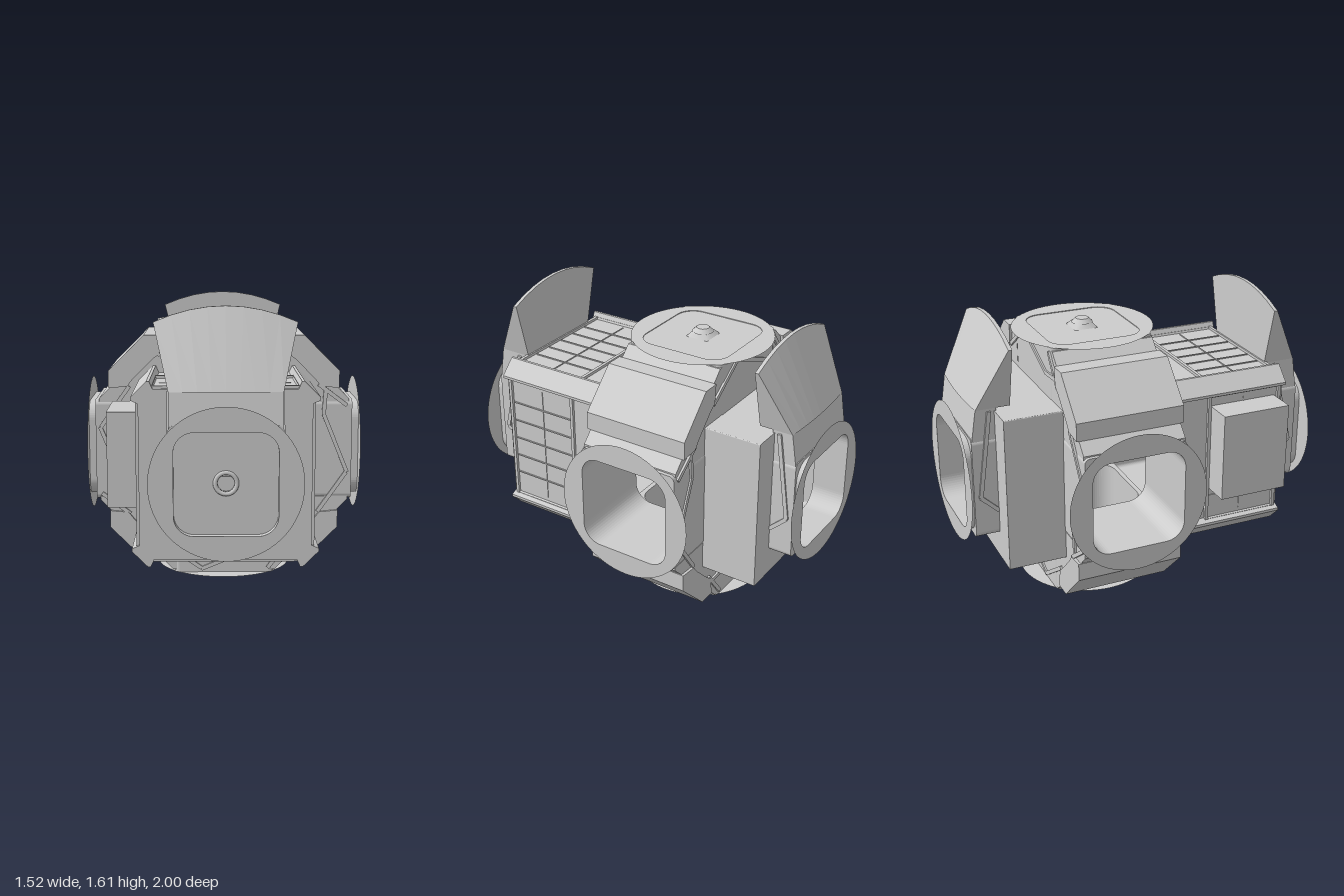
import * as THREE from 'three';

const metal = new THREE.MeshStandardMaterial({ color: 0xcccccc, side: THREE.DoubleSide });
metal.name = 'light grey metal';

const CY = 0.757;   // height of the module axis
const ZC = -0.232;  // centre of the crossing section
const HOLE = 0.256; // half width of a hatch opening

function add(parent, name, geometry, x = 0, y = 0, z = 0) {
  const mesh = new THREE.Mesh(geometry, metal);
  mesh.name = name;
  mesh.position.set(x, y, z);
  parent.add(mesh);
  return mesh;
}

const box = (w, h, d) => new THREE.BoxGeometry(w, h, d);

function group(parent, name) {
  const g = new THREE.Group();
  g.name = name;
  parent.add(g);
  return g;
}

// Square outline with rounded corners
function roundedSquare(h, r, Type = THREE.Shape) {
  const s = new Type();
  const c = h - r;
  s.moveTo(h, -c);
  s.absarc(c, c, r, 0, Math.PI / 2);
  s.absarc(-c, c, r, Math.PI / 2, Math.PI);
  s.absarc(-c, -c, r, Math.PI, Math.PI * 1.5);
  s.absarc(c, -c, r, Math.PI * 1.5, Math.PI * 2);
  return s;
}

const polygon = (pts) => new THREE.Shape(pts.map(([x, y]) => new THREE.Vector2(x, y)));
const extrude = (shape, depth) =>
  new THREE.ExtrudeGeometry(shape, { depth, bevelEnabled: false, curveSegments: 6 });

function frame(outer, outerR, inner, innerR, depth) {
  const s = roundedSquare(outer, outerR);
  s.holes.push(roundedSquare(inner, innerR, THREE.Path));
  return extrude(s, depth);
}

// Thin bar between two points of an xy plane
function bar(parent, name, [x1, y1], [x2, y2], z, width = 0.022, thick = 0.014) {
  const m = add(parent, name, box(Math.hypot(x2 - x1, y2 - y1), width, thick),
    (x1 + x2) / 2, (y1 + y2) / 2, z);
  m.rotation.z = Math.atan2(y2 - y1, x2 - x1);
}

// Docking port along local +z: square neck, thin lip and flat round flange
function makePort(parent, name, { start, neckEnd, tip, hatch }) {
  const g = group(parent, name);
  add(g, 'neck', frame(0.283, 0.03, HOLE, 0.1, neckEnd - start), 0, 0, start);
  if (tip > neckEnd)
    add(g, 'lip', frame(0.268, 0.1, HOLE, 0.1, tip - neckEnd), 0, 0, neckEnd);
  const flange = new THREE.Shape();
  flange.absarc(0, 0, 0.382, 0, Math.PI * 2);
  flange.holes.push(roundedSquare(HOLE, 0.1, THREE.Path));
  add(g, 'flange', new THREE.ShapeGeometry(flange, 32), 0, 0, tip);
  if (hatch === 'window') {
    // Recessed hatch with a small round porthole
    const door = roundedSquare(HOLE, 0.1);
    const eye = new THREE.Path();
    eye.absarc(0, 0, 0.042, 0, Math.PI * 2);
    door.holes.push(eye);
    add(g, 'hatch', extrude(door, 0.02), 0, 0, tip - 0.06);
    add(g, 'portholeRim', new THREE.TorusGeometry(0.053, 0.011, 8, 28), 0, 0, tip - 0.038);
  } else if (hatch === 'knob') {
    // Closed hatch with a central grapple knob
    add(g, 'hatch', extrude(roundedSquare(HOLE, 0.1), 0.02), 0, 0, tip - 0.024);
    const base = add(g, 'knobBase', new THREE.CylinderGeometry(0.062, 0.092, 0.024, 4), 0, 0, tip + 0.008);
    base.rotation.set(Math.PI / 2, Math.PI / 4, 0);
    const knob = add(g, 'knob', new THREE.CylinderGeometry(0.035, 0.058, 0.022, 16), 0, 0, tip + 0.031);
    knob.rotation.x = Math.PI / 2;
  }
  return g;
}

// Curved wedge shield: sloped outer face, upright inner face
function shieldGeometry(n = 8) {
  const pos = [], idx = [];
  const ring = (t) => [
    [0.28 * t, 0.443, 0.945 - 0.015 * t * t],
    [0.357 * t, 0.848 - 0.08 * t * t, 0.765],
    [0.357 * t, 0.848 - 0.08 * t * t, 0.745],
    [0.28 * t, 0.443, 0.745],
  ];
  for (let i = 0; i <= n; i++) ring(-1 + 2 * i / n).forEach((p) => pos.push(...p));
  for (let i = 0; i < n; i++)
    for (let j = 0; j < 4; j++) {
      const a = i * 4 + j, b = i * 4 + (j + 1) % 4;
      idx.push(a, a + 4, b, b, a + 4, b + 4);
    }
  const e = n * 4;
  idx.push(0, 1, 2, 0, 2, 3, e, e + 2, e + 1, e, e + 3, e + 2);
  const g = new THREE.BufferGeometry();
  g.setAttribute('position', new THREE.Float32BufferAttribute(pos, 3));
  g.setIndex(idx);
  const flat = g.toNonIndexed();
  flat.computeVertexNormals();
  return flat;
}

// Shield, fairing and side struts around an end port that faces local +z
function makeEndTrim(parent, name, start) {
  const g = group(parent, name);
  add(g, 'shield', shieldGeometry());
  const side = polygon([[start, 0.27], [start, 0.443], [0.93, 0.443], [0.957, 0.27]]);
  const fairing = add(g, 'fairing', extrude(side, 0.56), 0.28, 0, 0);
  fairing.rotation.y = -Math.PI / 2;
  for (const s of [-1, 1]) {
    const struts = group(g, 'neckStruts');
    struts.rotation.y = -Math.PI / 2;
    struts.position.x = s * 0.285;
    bar(struts, 'strut', [start + 0.04, 0.43], [0.925, -0.05], 0);
    bar(struts, 'strut', [start + 0.01, -0.14], [0.925, -0.05], 0);
  }
  return g;
}

export function createModel() {
  const root = new THREE.Group();
  root.name = 'stationModule';
  const body = group(root, 'body');
  body.position.y = CY;

  // Crossing section: four corner blocks, fairing bands and face struts
  const block = polygon([[0.27, 0.27], [0.70, 0.27], [0.70, 0.29], [0.64, 0.35],
    [0.64, 0.44], [0.44, 0.64], [0.35, 0.64], [0.29, 0.70], [0.27, 0.70]]);
  const band = polygon([[0.645, 0.35], [0.645, 0.447], [0.447, 0.645], [0.35, 0.645],
    [0.36, 0.54], [0.40, 0.51], [0.51, 0.40], [0.54, 0.36]]);
  for (let i = 0; i < 4; i++) {
    const corner = group(body, 'crossingCorner');
    corner.rotation.z = i * Math.PI / 2;
    add(corner, 'cornerBlock', extrude(block, 0.56), 0, 0, ZC - 0.28);
    add(corner, 'cornerFairing', extrude(band, 0.59), 0, 0, ZC - 0.295);
    for (const s of [-1, 1]) {
      const z = ZC + s * 0.285;
      bar(corner, 'faceStrut', [0.53, 0.37], [0.69, 0.25], z);
      bar(corner, 'faceStrut', [0.56, 0.20], [0.695, -0.13], z);
      bar(corner, 'faceStrut', [0.56, 0.20], [0.57, 0.34], z);
      bar(corner, 'faceStrut', [0.69, -0.13], [0.53, -0.36], z);
    }
  }

  // Side, top and bottom ports of the crossing
  for (const s of [-1, 1]) {
    const side = makePort(body, s > 0 ? 'leftPort' : 'rightPort',
      { start: 0.27, neckEnd: 0.72, tip: 0.758 });
    side.rotation.y = s * Math.PI / 2;
    side.position.z = ZC;
    const vertical = makePort(body, s > 0 ? 'topPort' : 'bottomPort',
      { start: 0.27, neckEnd: 0.715, tip: 0.715, hatch: 'knob' });
    vertical.rotation.x = -s * Math.PI / 2;
    vertical.position.z = ZC;
  }

  // Front compartment: hollow shell, end wall, corner rails and gridded panels
  const front = group(body, 'frontCompartment');
  add(front, 'shell', frame(0.437, 0.01, 0.39, 0.02, 0.72), 0, 0, 0.04);
  add(front, 'endWall', frame(0.437, 0.01, HOLE, 0.1, 0.02), 0, 0, 0.75);
  const rail = polygon([[0.36, 0.43], [0.38, 0.475], [0.395, 0.475], [0.475, 0.395],
    [0.475, 0.38], [0.43, 0.36]]);
  for (let i = 0; i < 4; i++) {
    const face = group(front, 'panelFace');
    face.rotation.z = i * Math.PI / 2;
    add(face, 'cornerRail', extrude(rail, 0.725), 0, 0, 0.045);
    for (const z of [0.32, 0.745]) add(face, 'panelEdge', box(0.024, 0.77, 0.018), 0.44, 0, z);
    for (const y of [-0.375, 0.375]) add(face, 'panelEdge', box(0.02, 0.016, 0.42), 0.44, y, 0.53);
    add(face, 'panelSeam', box(0.008, 0.68, 0.006), 0.437, 0, 0.53);
    for (let k = -2; k <= 2; k++)
      add(face, 'panelRib', box(0.012, 0.007, 0.4), 0.437, k * 0.113, 0.53);
  }
  add(body, 'sideBox', box(0.165, 0.49, 0.39), -0.517, 0.07, 0.525);

  // Rear compartment
  const rear = group(body, 'rearCompartment');
  add(rear, 'shell', frame(0.428, 0.005, 0.39, 0.02, 0.31), 0, 0, -0.81);
  add(rear, 'endWall', frame(0.428, 0.005, HOLE, 0.1, 0.02), 0, 0, -0.83);

  // End ports and their shields
  makePort(body, 'frontPort', { start: 0.765, neckEnd: 0.96, tip: 1, hatch: 'window' });
  makeEndTrim(body, 'frontTrim', 0.765);
  makePort(body, 'rearPort', { start: 0.82, neckEnd: 0.96, tip: 1 }).rotation.y = Math.PI;
  makeEndTrim(body, 'rearTrim', 0.82).rotation.y = Math.PI;

  return root;
}
